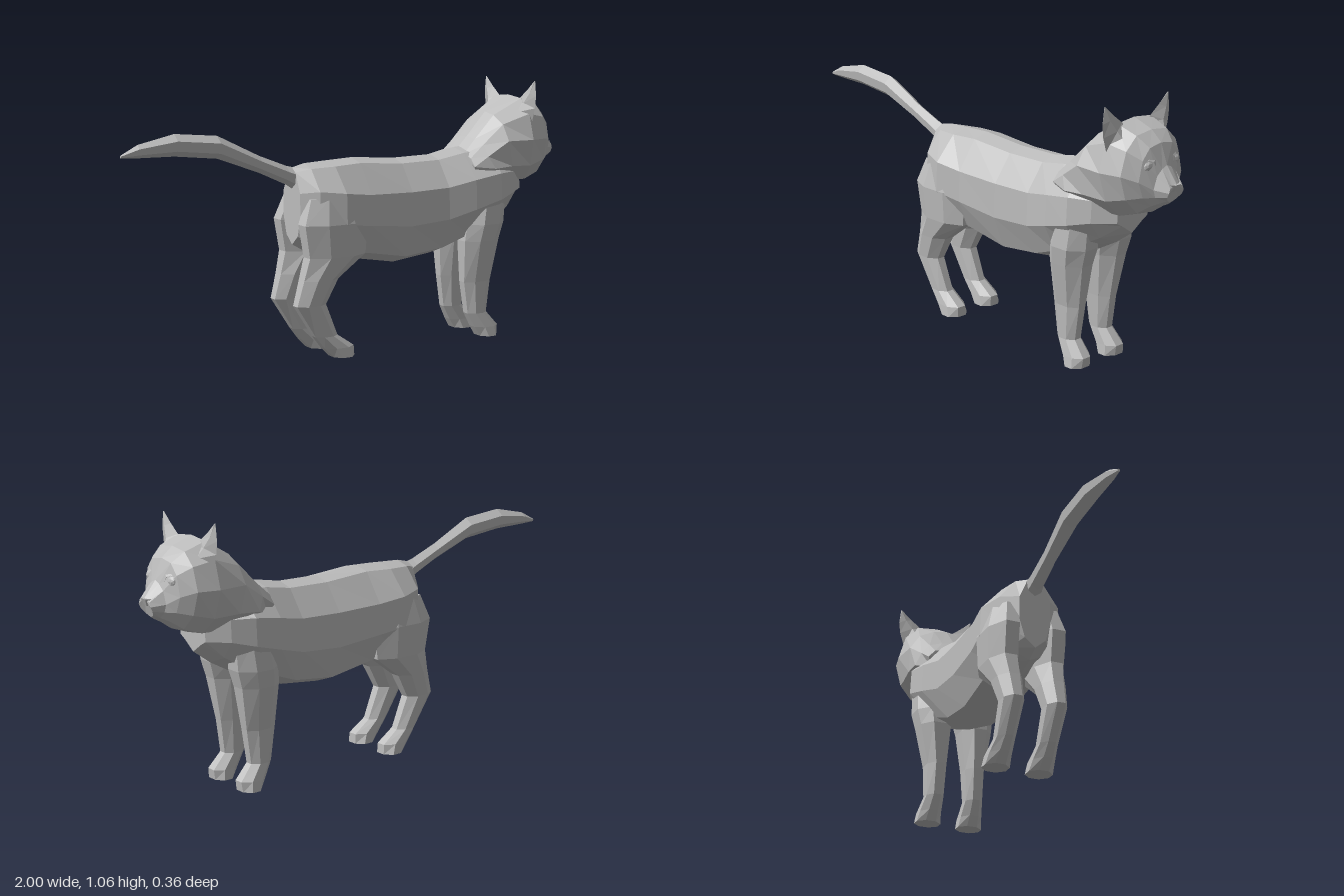
import * as THREE from 'three';

const fur = new THREE.MeshStandardMaterial({ color: 0xbcbcbc, flatShading: true });
fur.name = 'greyFur';

// Skins a list of rings (counter-clockwise seen from the far end) and caps both ends
function loft(rings) {
  const pos = [];
  const tri = (...p) => p.forEach((v) => pos.push(...v));
  const n = rings[0].length;
  for (let i = 0; i < rings.length - 1; i++) {
    for (let j = 0; j < n; j++) {
      const k = (j + 1) % n;
      const a = rings[i][j], b = rings[i][k], c = rings[i + 1][k], d = rings[i + 1][j];
      tri(a, b, c);
      tri(a, c, d);
    }
  }
  const first = rings[0], last = rings[rings.length - 1];
  for (let j = 1; j < n - 1; j++) {
    tri(first[0], first[j + 1], first[j]);
    tri(last[0], last[j], last[j + 1]);
  }
  const g = new THREE.BufferGeometry();
  g.setAttribute('position', new THREE.Float32BufferAttribute(pos, 3));
  g.computeVertexNormals();
  return g;
}

// Completes a half ring listed from top centre to bottom centre
const mirrorRing = (half) => [
  ...half,
  ...half.slice(1, -1).reverse().map(([x, y, z]) => [x, y, -z]),
];

function part(parent, name, geometry) {
  const m = new THREE.Mesh(geometry, fur);
  m.name = name;
  parent.add(m);
  return m;
}

// Torso ring: rounded back, widest at the flank, tucked belly
const torsoRing = ([x, top, flank, bottom, w]) => mirrorRing([
  [x, top, 0],
  [x, top - 0.017, w * 0.46],
  [x, flank, w],
  [x, flank + (bottom - flank) * 0.45, w * 1.03],
  [x, bottom + 0.037, w * 0.68],
  [x, bottom, 0],
]);

// Head ring: narrow crown, wide cheeks, and a jaw that leans along x
const headRing = ([x, top, crownW, cheek, cheekW, jaw, jawW, bottom, lean]) => mirrorRing([
  [x, top, 0],
  [x, top - 0.01, crownW],
  [x, cheek + (top - cheek) * 0.6, (crownW + cheekW) * 0.55],
  [x, cheek, cheekW],
  [x + lean * 0.3, jaw, jawW],
  [x + lean * 0.8, bottom + 0.011, jawW * 0.6],
  [x + lean, bottom, 0],
]);

// Tail ring from top height and thickness
const tailRing = ([x, top, t]) => mirrorRing([
  [x, top, 0], [x, top - t * 0.3, t * 0.4], [x, top - t * 0.75, t * 0.34], [x, top - t, 0],
]);

// Leg ring: an octagon filling back x, front x, inner z and outer z
const legRing = (side) => ([y, x0, x1, z0, z1]) => Array.from({ length: 8 }, (_, j) => {
  const a = (j + 0.5) * Math.PI / 4, r = 0.54;
  return [
    (x0 + x1) / 2 + Math.cos(a) * r * (x1 - x0),
    y,
    side * (z0 + z1) / 2 - Math.sin(a) * r * (z1 - z0),
  ];
});

// Ear ring: a thin diamond slanting down to its outer corner
const earRing = (side) => ([y, z, thick, span, slant]) => {
  const ring = [
    [0.79 + thick, y, side * z],
    [0.79, y + slant, side * (z - span)],
    [0.79 - thick, y, side * z],
    [0.79, y - slant, side * (z + span)],
  ];
  return side > 0 ? ring : ring.reverse();
};

export function createModel() {
  const cat = new THREE.Group();
  cat.name = 'cat';

  // Torso, rump to chest: x, top, flank height, bottom, half width
  part(cat, 'torso', loft([
    [-0.275, 0.757, 0.66, 0.45, 0.065],
    [-0.22, 0.77, 0.67, 0.42, 0.127],
    [-0.12, 0.775, 0.66, 0.39, 0.163],
    [0, 0.78, 0.645, 0.37, 0.15],
    [0.2, 0.765, 0.64, 0.335, 0.145],
    [0.38, 0.768, 0.645, 0.355, 0.145],
    [0.5, 0.79, 0.67, 0.4, 0.166],
    [0.62, 0.8, 0.69, 0.45, 0.175],
    [0.71, 0.74, 0.69, 0.5, 0.14],
    [0.785, 0.7, 0.65, 0.555, 0.08],
  ].map(torsoRing)));

  // Tail, tip to root
  part(cat, 'tail', loft([
    [-0.998, 0.85, 0.012], [-0.93, 0.885, 0.05], [-0.78, 0.917, 0.085],
    [-0.6, 0.9, 0.088], [-0.42, 0.812, 0.067], [-0.3, 0.765, 0.075], [-0.24, 0.75, 0.1],
  ].map(tailRing)));

  // Legs, paw upwards: y, back x, front x, inner z, outer z
  const frontRows = [
    [0, 0.565, 0.65, 0.04, 0.145], [0.04, 0.54, 0.655, 0.045, 0.138],
    [0.1, 0.508, 0.602, 0.05, 0.125], [0.235, 0.488, 0.62, 0.043, 0.128],
    [0.41, 0.478, 0.65, 0.025, 0.16], [0.48, 0.485, 0.67, 0.012, 0.172],
    [0.6, 0.51, 0.68, 0.03, 0.165],
  ];
  const hindRows = [
    [0, -0.15, -0.055, 0.04, 0.142], [0.04, -0.19, -0.057, 0.045, 0.137],
    [0.09, -0.23, -0.13, 0.052, 0.127], [0.22, -0.314, -0.184, 0.048, 0.133],
    [0.32, -0.287, -0.13, 0.04, 0.145], [0.41, -0.265, -0.01, 0.035, 0.16],
    [0.54, -0.287, 0, 0.03, 0.167], [0.64, -0.25, -0.03, 0.03, 0.14],
  ];

  // Head with cheek ruff, nape to nose:
  // x, top, crown width, cheek height and width, jaw height and width, bottom, lean
  const head = new THREE.Group();
  head.name = 'head';
  cat.add(head);
  part(head, 'skullAndRuff', loft([
    [0.51, 0.775, 0.06, 0.72, 0.14, 0.68, 0.12, 0.64, 0.06],
    [0.57, 0.835, 0.055, 0.76, 0.15, 0.71, 0.168, 0.64, 0.09],
    [0.66, 0.93, 0.06, 0.82, 0.17, 0.715, 0.165, 0.635, 0.08],
    [0.78, 0.997, 0.09, 0.82, 0.18, 0.71, 0.152, 0.635, 0.03],
    [0.865, 0.967, 0.08, 0.82, 0.16, 0.73, 0.135, 0.66, 0.015],
    [0.912, 0.928, 0.06, 0.8, 0.115, 0.74, 0.095, 0.692, 0.013],
    [0.942, 0.85, 0.025, 0.77, 0.068, 0.74, 0.06, 0.705, 0.008],
    [0.99, 0.79, 0.02, 0.762, 0.04, 0.745, 0.04, 0.715, -0.025],
  ].map(headRing)));

  // Nose pad
  const nose = part(head, 'nose', new THREE.CylinderGeometry(0.032, 0.012, 0.028, 6));
  nose.position.set(0.978, 0.775, 0);
  nose.scale.x = 0.7;

  const earRows = [
    [0.93, 0.105, 0.045, 0.05, 0.035], [0.97, 0.123, 0.022, 0.049, 0.02],
    [1.012, 0.149, 0.011, 0.029, 0.012], [1.063, 0.168, 0.002, 0.002, 0.001],
  ];

  for (const side of [1, -1]) {
    const label = side > 0 ? 'Near' : 'Far';
    part(cat, 'frontLeg' + label, loft(frontRows.map(legRing(side))));
    part(cat, 'hindLeg' + label, loft(hindRows.map(legRing(side))));
    part(head, 'ear' + label, loft(earRows.map(earRing(side))));

    // Eyeball with a raised lid rim
    const eye = part(head, 'eye' + label, new THREE.IcosahedronGeometry(0.026, 1));
    eye.position.set(0.912, 0.853, side * 0.07);
    eye.scale.set(0.7, 0.85, 1);
    const lid = part(head, 'eyelid' + label, new THREE.TorusGeometry(0.03, 0.007, 3, 8));
    lid.position.set(0.916, 0.853, side * 0.07);
    lid.rotation.y = Math.PI / 2 - side * 0.45;
    lid.scale.y = 0.85;
  }
  return cat;
}
